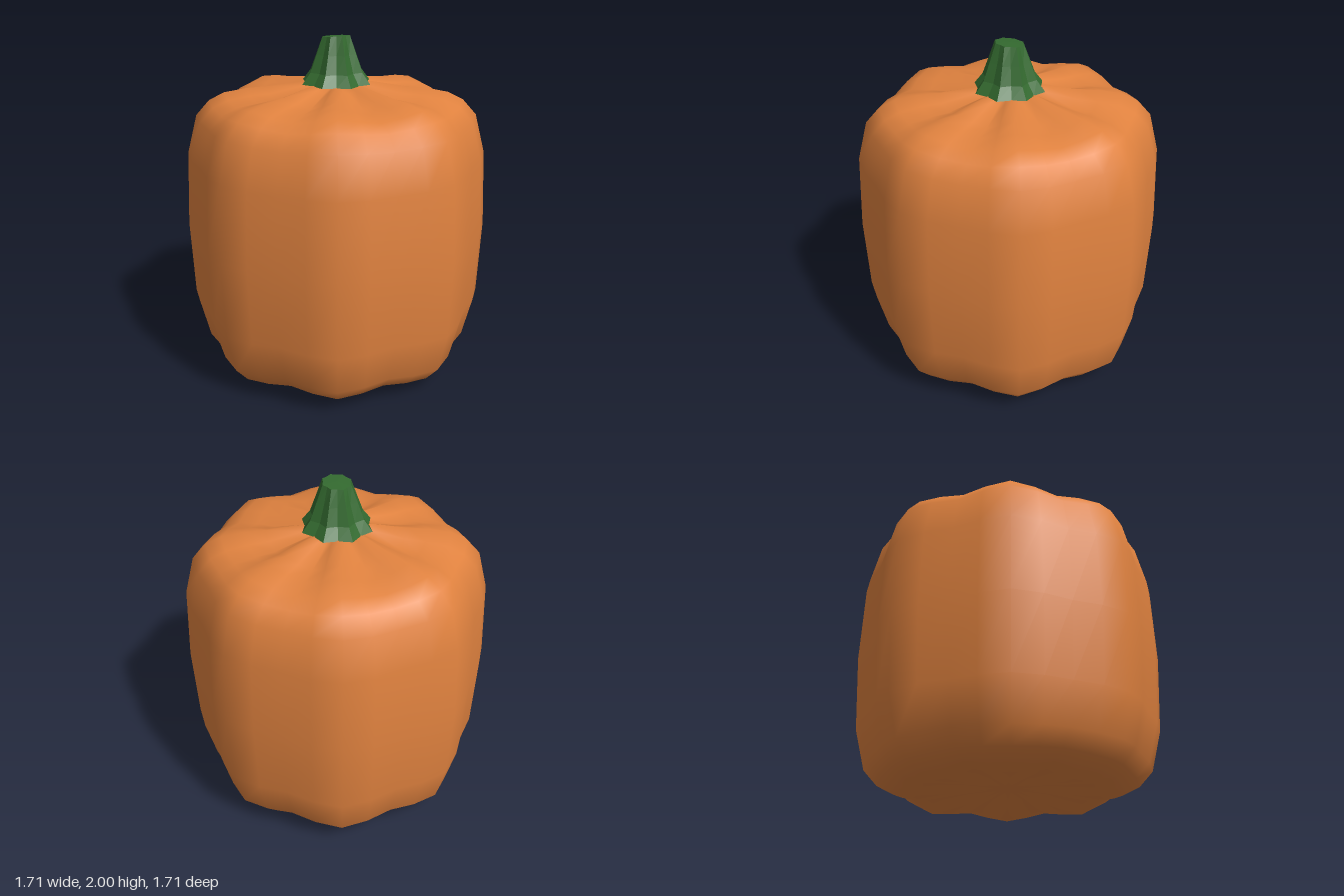
import * as THREE from 'three';

// Closed skin through rings of `n` points; the first and last rings are closed by a centre point.
function loft(rings, n, pointAt, bottom, top) {
  const pos = [], idx = [];
  rings.forEach((ring) => {
    for (let i = 0; i < n; i++) pos.push(...pointAt(ring, i));
  });
  for (let j = 0; j < rings.length - 1; j++) {
    for (let i = 0; i < n; i++) {
      const k = (i + 1) % n;
      const a = j * n + i, b = j * n + k, c = a + n, d = b + n;
      idx.push(a, c, b, b, c, d);
    }
  }
  const low = rings.length * n, high = low + 1, last = (rings.length - 1) * n;
  pos.push(0, bottom, 0, 0, top, 0);
  for (let i = 0; i < n; i++) {
    const k = (i + 1) % n;
    idx.push(low, i, k, high, last + k, last + i);
  }
  const geo = new THREE.BufferGeometry();
  geo.setAttribute('position', new THREE.Float32BufferAttribute(pos, 3));
  geo.setIndex(idx);
  geo.computeVertexNormals();
  return geo;
}

// Body: eight lobes, each ring is [lobe radius, lobe height, groove height]
function makeBody() {
  const rings = [
    [0.26, 0.035, 0.055], [0.52, 0.0, 0.035], [0.64, 0.02, 0.05],
    [0.74, 0.07, 0.095], [0.82, 0.16, 0.18], [0.88, 0.4, 0.41],
    [0.9, 0.85, 0.85], [0.88, 1.3, 1.29], [0.82, 1.53, 1.51],
    [0.74, 1.62, 1.59], [0.65, 1.665, 1.625], [0.52, 1.69, 1.64],
    [0.4, 1.7, 1.645], [0.2, 1.73, 1.69],
  ];
  const n = 32;
  const geo = loft(rings, n, ([r, yLobe, yGroove], i) => {
    const a = (i / n) * Math.PI * 2;
    const lobe = [0, 0.5, 1, 0.5][i % 4]; // 0 in a groove, 1 on a lobe crest
    const radius = r * (0.935 + 0.065 * lobe);
    const y = THREE.MathUtils.lerp(yGroove, yLobe, lobe);
    return [radius * Math.cos(a), y, radius * Math.sin(a)];
  }, 0.06, 1.72);
  return new THREE.Mesh(geo, new THREE.MeshStandardMaterial({ color: 0xe0823f }));
}

// Stem: ridged taper, each ring is [ridge radius, valley radius, height, tilt]
function makeStem() {
  const rings = [
    [0.21, 0.18, 1.725, 0], [0.16, 0.135, 1.79, 0],
    [0.122, 0.102, 1.89, 0.03], [0.085, 0.075, 1.99, 0.11],
  ];
  const n = 16;
  const geo = loft(rings, n, ([ridge, valley, y, tilt], i) => {
    const a = (i / n) * Math.PI * 2;
    const r = i % 2 ? valley : ridge;
    const z = r * Math.sin(a);
    return [r * Math.cos(a), y + tilt * z, z];
  }, 1.72, 1.993);
  return new THREE.Mesh(geo, new THREE.MeshStandardMaterial({ color: 0x33692f, flatShading: true }));
}

export function createModel() {
  const group = new THREE.Group();
  group.name = 'pumpkin';
  const body = makeBody();
  body.name = 'pumpkinBody';
  const stem = makeStem();
  stem.name = 'stem';
  group.add(body, stem);
  return group;
}
